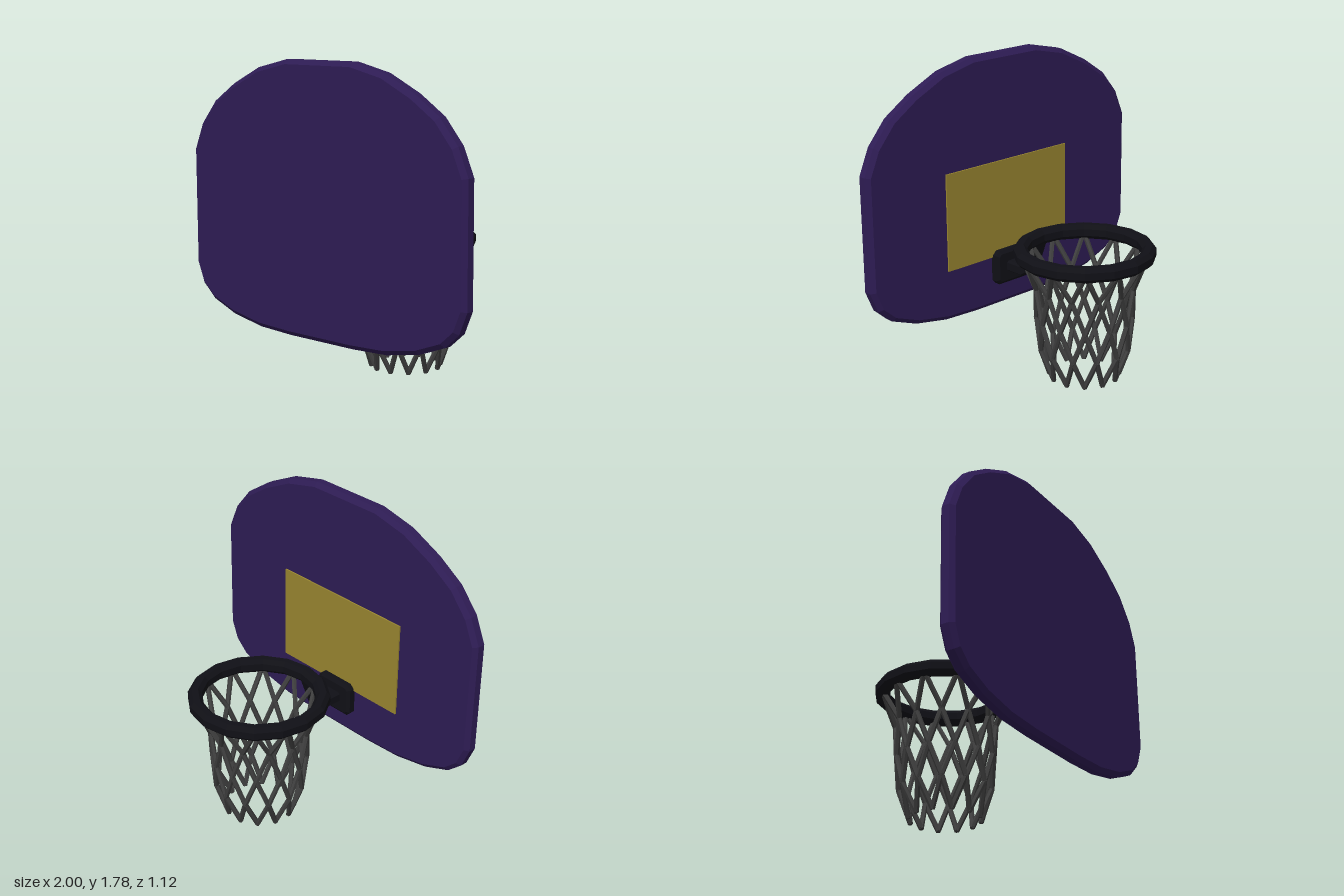
import * as THREE from 'three';
import { mergeGeometries } from 'three/addons/utils/BufferGeometryUtils.js';

const RING_Z = -0.16;
const material = (color) => new THREE.MeshStandardMaterial({ color, flatShading: true });

function part(name, geometry, mat) {
  const mesh = new THREE.Mesh(geometry, mat);
  mesh.name = name;
  return mesh;
}

// Extrudes an outline along z, centred on z = 0, with a chamfer kept inside the outline
function chamferedSlab(points, depth, chamferZ, inset) {
  const shape = new THREE.Shape(points.map(([x, y]) => new THREE.Vector2(x, y)));
  const geometry = new THREE.ExtrudeGeometry(shape, {
    depth: depth - 2 * chamferZ, bevelEnabled: true, bevelSegments: 1,
    bevelThickness: chamferZ, bevelSize: inset, bevelOffset: -inset,
  });
  return geometry.translate(0, 0, chamferZ - depth / 2);
}

// Straight cord between two points
function cord(a, b, radius) {
  const dir = b.clone().sub(a);
  const geometry = new THREE.CylinderGeometry(radius, radius, dir.length() + radius * 0.6, 6);
  geometry.applyQuaternion(new THREE.Quaternion().setFromUnitVectors(new THREE.Vector3(0, 1, 0), dir.normalize()));
  const mid = a.clone().add(b).multiplyScalar(0.5);
  return geometry.translate(mid.x, mid.y, mid.z);
}

// Diamond lattice: each node sends two cords to the half-stepped row below
function netGeometry() {
  const rows = [[0.36, 0.74], [0.28, 0.55], [0.272, 0.36], [0.255, 0.18], [0.2, 0.012]];
  const count = 12;
  const node = (row, halfStep) => {
    const angle = (halfStep * Math.PI) / count;
    const [r, y] = rows[row];
    return new THREE.Vector3(r * Math.sin(angle), y, RING_Z + r * Math.cos(angle));
  };
  const cords = [];
  for (let row = 0; row < rows.length - 1; row++) {
    for (let i = 0; i < count; i++) {
      const start = 2 * i + ((row + 1) % 2);
      for (const side of [-1, 1]) cords.push(cord(node(row, start), node(row + 1, start + side), 0.015));
    }
  }
  return mergeGeometries(cords);
}

export function createModel() {
  const group = new THREE.Group();
  const purple = material(0x2e1c54);
  const gold = material(0x988530);
  const black = material(0x101016);
  const grey = material(0x3e3e3e);

  // Backboard: half outline mirrored across x
  const half = [
    [0.23, 0.275], [0.47, 0.285], [0.69, 0.325], [0.86, 0.39], [0.95, 0.47], [1, 0.59],
    [1, 1.25], [0.935, 1.4], [0.82, 1.535], [0.66, 1.64], [0.46, 1.735], [0.24, 1.785],
  ];
  const outline = [...half, ...half.map(([x, y]) => [-x, y]).reverse()];
  const board = part('backboard', chamferedSlab(outline, 0.088, 0.022, 0.026), purple);
  board.position.z = 0.515;
  group.add(board);

  // Target panel on the hoop side
  const panel = part('targetPanel', new THREE.BoxGeometry(0.93, 0.575, 0.02), gold);
  panel.position.set(0, 0.873, 0.472);
  group.add(panel);

  // Mounting plate with clipped corners
  const w = 0.13, h = 0.103, c = 0.025;
  const plateOutline = [[w - c, -h], [w, c - h], [w, h - c], [w - c, h], [c - w, h], [-w, h - c], [-w, c - h], [c - w, -h]];
  const plate = part('mountingPlate', chamferedSlab(plateOutline, 0.07, 0.015, 0.018), black);
  plate.position.set(0, 0.52, 0.455);
  group.add(plate);

  // Bent arm: side profile (-z, y) turned to face sideways
  const profile = [
    [-0.44, 0.49], [-0.3, 0.49], [-0.265, 0.515], [-0.18, 0.745],
    [-0.23, 0.745], [-0.295, 0.58], [-0.315, 0.555], [-0.44, 0.555],
  ];
  const arm = part('supportArm', chamferedSlab(profile, 0.114, 0.014, 0.01).rotateY(Math.PI / 2), black);
  group.add(arm);

  // Rim with an eight-sided cross-section
  const rimProfile = [
    [0.4, 0.73], [0.4, 0.77], [0.378, 0.793], [0.342, 0.793], [0.32, 0.77],
    [0.32, 0.73], [0.342, 0.708], [0.378, 0.708], [0.4, 0.73],
  ].map(([r, y]) => new THREE.Vector2(r, y));
  const rim = part('rim', new THREE.LatheGeometry(rimProfile, 16), black);
  rim.position.z = RING_Z;
  group.add(rim);

  group.add(part('net', netGeometry(), grey));
  return group;
}
